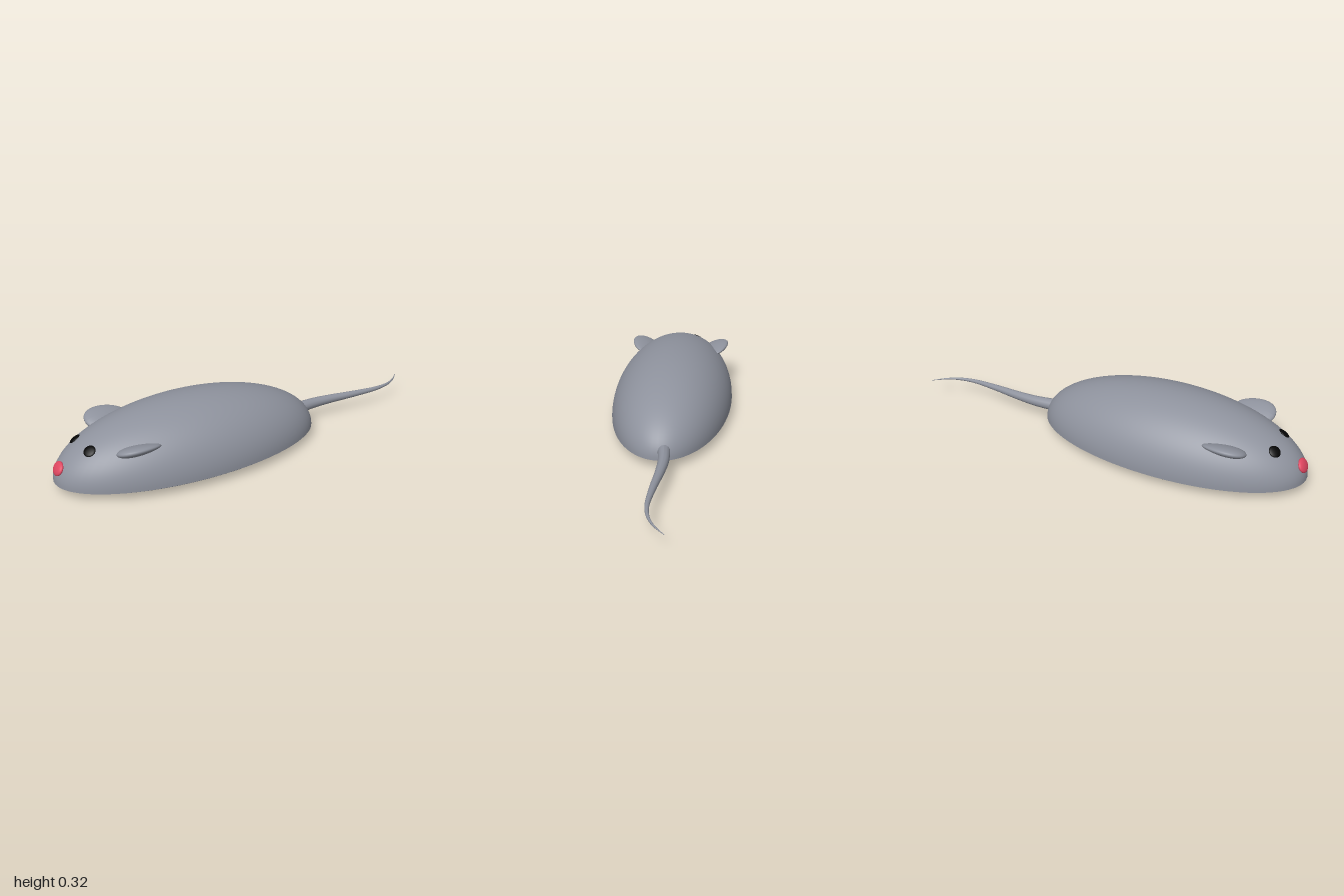
import * as THREE from 'three';

const CX = -0.335, BASE = 0.043;          // body centre and rim height
const A = 0.664, B = 0.281, C = 0.303;    // body half length, dome height, half width

const fur = new THREE.MeshStandardMaterial({ color: 0x8e929d });
const black = new THREE.MeshStandardMaterial({ color: 0x050505 });
const red = new THREE.MeshStandardMaterial({ color: 0xde4660 });

function add(group, name, geometry, material) {
  const mesh = new THREE.Mesh(geometry, material);
  mesh.name = name;
  group.add(mesh);
  return mesh;
}

// Unit-radius lathe stretched to the oval plan of the body
function ovalLathe(points, height) {
  return new THREE.LatheGeometry(points, 72).scale(A, height, C);
}

// Flattened sphere lying on the dome at the given x, z
function button(group, name, x, z, radii, material) {
  const u = (x - CX) / A, w = z / C;
  const v = Math.sqrt(1 - u * u - w * w);
  const mesh = add(group, name, new THREE.SphereGeometry(1, 24, 16).scale(...radii), material);
  const normal = new THREE.Vector3(u / A, v / B, w / C).normalize();
  mesh.position.set(x, BASE + v * B, z);
  mesh.quaternion.setFromUnitVectors(new THREE.Vector3(0, 1, 0), normal);
}

// Flat egg shape, broad towards -x and narrow towards +x
function earGeometry() {
  const geometry = new THREE.SphereGeometry(1, 32, 20);
  const pos = geometry.attributes.position;
  for (let i = 0; i < pos.count; i++) {
    const x = pos.getX(i), k = 1 - 0.22 * x;
    pos.setXYZ(i, x * 0.1, pos.getY(i) * 0.023 * k, pos.getZ(i) * 0.07 * k);
  }
  geometry.computeVertexNormals();
  return geometry;
}

// Tube narrowed towards its end
function taperedTube(points, radius, steps, sides) {
  const curve = new THREE.CatmullRomCurve3(points.map(p => new THREE.Vector3(...p)));
  const geometry = new THREE.TubeGeometry(curve, steps, radius, sides);
  const pos = geometry.attributes.position, v = new THREE.Vector3();
  for (let i = 0; i <= steps; i++) {
    const centre = curve.getPointAt(i / steps);
    for (let j = 0; j <= sides; j++) {
      const k = i * (sides + 1) + j;
      v.fromBufferAttribute(pos, k).sub(centre).multiplyScalar(1 - 0.97 * i / steps).add(centre);
      pos.setXYZ(k, v.x, v.y, v.z);
    }
  }
  geometry.computeVertexNormals();
  return geometry;
}

export function createModel() {
  const group = new THREE.Group();
  group.name = 'mouse';

  // Domed back and shallow underside, meeting at a crisp rim
  const dome = [], under = [];
  for (let i = 0; i <= 28; i++) {
    const t = i / 28 * Math.PI / 2;
    dome.push(new THREE.Vector2(i === 28 ? 0 : Math.cos(t), Math.sin(t)));
    const r = Math.sin(t);
    under.push(new THREE.Vector2(r, 0.3 * r ** 2 + 0.7 * r ** 7));
  }
  add(group, 'body', ovalLathe(dome, B), fur).position.set(CX, BASE, 0);
  add(group, 'underside', ovalLathe(under, BASE), fur).position.set(CX, 0, 0);

  // Ears tilted up and outwards, and eyes
  for (const [side, s] of [['left', 1], ['right', -1]]) {
    const ear = add(group, side + 'Ear', earGeometry(), fur);
    ear.position.set(-0.673, 0.212, s * 0.194);
    ear.rotation.set(-s * 0.38, -s * 0.12, 0);
    button(group, side + 'Eye', s > 0 ? -0.855 : -0.865, s * 0.077, [0.028, 0.008, 0.028], black);
  }

  // Nose
  button(group, 'nose', -0.977, 0, [0.033, 0.015, 0.04], red);

  // Tail, curling sideways at the tip
  add(group, 'tail', taperedTube([
    [0.27, 0.084, -0.025], [0.4, 0.084, -0.038], [0.5, 0.084, -0.035], [0.65, 0.084, -0.022],
    [0.79, 0.084, -0.018], [0.87, 0.084, -0.034], [0.93, 0.084, -0.064], [0.992, 0.084, -0.117],
  ], 0.031, 48, 14), fur);

  return group;
}
